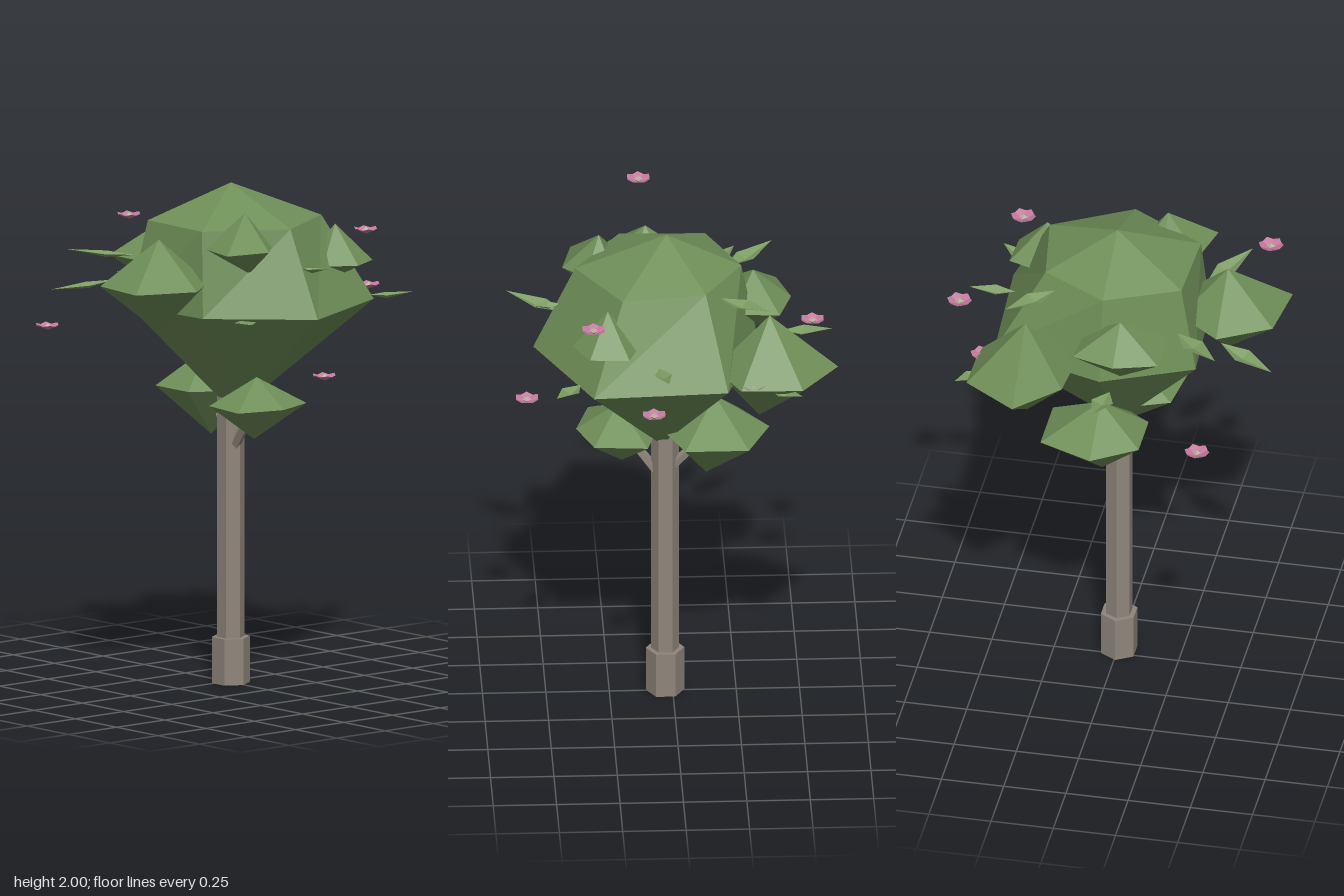
import * as THREE from 'three';

const mat = (color, side = THREE.FrontSide) =>
  new THREE.MeshStandardMaterial({ color, side, flatShading: true });
const green = mat(0x6f8f58);
const leafGreen = mat(0x7d9c63, THREE.DoubleSide);
const bark = mat(0x8f867b);
const pink = mat(0xc47a9f, THREE.DoubleSide);
const pistil = mat(0xb5ae9c);

// Faceted closed shell: top point, rings of [x, y, z] running from +x towards +z, bottom point
function facetedShell(top, rings, bottom) {
  const p = [];
  const n = rings[0].length;
  for (let i = 0; i < n; i++) {
    const j = (i + 1) % n;
    p.push(...top, ...rings[0][j], ...rings[0][i]);
    for (let r = 0; r < rings.length - 1; r++) {
      const u = rings[r], l = rings[r + 1];
      p.push(...u[i], ...u[j], ...l[j], ...u[i], ...l[j], ...l[i]);
    }
    const last = rings[rings.length - 1];
    p.push(...last[i], ...last[j], ...bottom);
  }
  return fromPoints(p);
}

function fromPoints(p) {
  const g = new THREE.BufferGeometry();
  g.setAttribute('position', new THREE.Float32BufferAttribute(p, 3));
  g.computeVertexNormals();
  return g;
}

export function createModel() {
  const tree = new THREE.Group();
  tree.name = 'tree';
  const add = (name, geometry, material) => {
    const m = new THREE.Mesh(geometry, material);
    m.name = name;
    tree.add(m);
    return m;
  };

  // Six-sided trunk and its wider foot
  const hexPost = (name, r, y0, y1) => {
    const g = new THREE.CylinderGeometry(r, r, y1 - y0, 6).rotateY(Math.PI / 6);
    add(name, g, bark).position.set(0.03, (y0 + y1) / 2, 0.005);
  };
  hexPost('trunkFoot', 0.076, 0, 0.185);
  hexPost('trunk', 0.055, 0.185, 1.2);

  // Branches reaching into the two low clumps
  const branch = (a, b) => {
    const from = new THREE.Vector3(...a), dir = new THREE.Vector3(...b).sub(from);
    const m = add('branch', new THREE.CylinderGeometry(0.016, 0.022, dir.length(), 5), bark);
    m.position.copy(from).addScaledVector(dir, 0.5);
    m.quaternion.setFromUnitVectors(new THREE.Vector3(0, 1, 0), dir.normalize());
  };
  branch([0.05, 0.94, 0.01], [0.2, 1.14, 0.02]);
  branch([0.02, 0.97, 0], [-0.13, 1.13, -0.03]);

  // Main crown
  const atHeight = (y, pts) => pts.map(([x, z]) => [x, y, z]);
  add('crown', facetedShell([0.025, 2, 0], [
    atHeight(1.86, [[0.385, 0], [0.2, 0.3], [-0.14, 0.29], [-0.27, 0], [-0.12, -0.26], [0.21, -0.31]]),
    atHeight(1.52, [[0.55, 0], [0.24, 0.33], [-0.18, 0.355], [-0.34, 0], [-0.2, -0.45], [0.33, -0.48]]),
  ], [0.045, 1.08, 0]), green);

  // Leaf clumps: centre x, z; top, ring and bottom heights; bottom x; six ring radii
  const clumps = [
    [0.09, 0.43, 1.83, 1.65, 1.46, 0.09, [0.23, 0.27, 0.235, 0.235, 0.2, 0.2]],
    [-0.37, -0.29, 1.78, 1.55, 1.345, -0.33, [0.22, 0.21, 0.19, 0.27, 0.245, 0.24]],
    [-0.165, -0.03, 1.305, 1.165, 0.97, -0.13, [0.215, 0.2, 0.2, 0.215, 0.25, 0.25]],
    [0.215, 0.03, 1.25, 1.14, 1.0, 0.2, [0.165, 0.22, 0.19, 0.16, 0.22, 0.2]],
    [-0.32, 0.08, 1.8, 1.68, 1.545, -0.32, [0.11, 0.2, 0.197, 0.15, 0.197, 0.18]],
    [0.285, 0.15, 1.93, 1.79, 1.69, 0.31, [0.145, 0.21, 0.16, 0.08, 0.12, 0.11]],
    [0.27, -0.33, 1.83, 1.68, 1.62, 0.28, [0.14, 0.14, 0.13, 0.13, 0.16, 0.15]],
  ];
  for (const [x, z, top, mid, low, lowX, radii] of clumps) {
    const ring = radii.map((r, i) => {
      const a = (i * Math.PI) / 3;
      return [x + r * Math.cos(a), mid, z + r * Math.sin(a)];
    });
    add('leafClump', facetedShell([x, top, z], [ring], [lowX, low, z]), green);
  }

  // Loose folded leaves: base point, tip point, half width
  const leaves = [
    [[0.07, 1.62, -0.42], [0.04, 1.64, -0.6], 0.035],
    [[0.38, 1.55, -0.41], [0.48, 1.56, -0.55], 0.04],
    [[0.44, 1.71, -0.01], [0.56, 1.72, -0.04], 0.03],
    [[0.41, 1.53, 0.28], [0.64, 1.56, 0.42], 0.045],
    [[-0.22, 1.71, 0.29], [-0.41, 1.73, 0.48], 0.045],
    [[-0.15, 1.64, 0.45], [-0.27, 1.61, 0.68], 0.045],
    [[-0.43, 1.54, 0.06], [-0.63, 1.56, 0.03], 0.045],
    [[-0.18, 1.82, -0.21], [-0.37, 1.835, -0.37], 0.045],
    [[-0.37, 1.53, -0.45], [-0.49, 1.55, -0.55], 0.04],
  ];
  for (const [base, tip, w] of leaves) {
    const a = new THREE.Vector3(...base), b = new THREE.Vector3(...tip);
    const side = new THREE.Vector3(a.z - b.z, 0, b.x - a.x).setLength(w);
    const mid = a.clone().lerp(b, 0.42);
    const l = mid.clone().add(side), r = mid.clone().sub(side);
    mid.y -= 0.018;
    const tris = [a, l, mid, l, b, mid, b, r, mid, r, a, mid];
    add('leaf', fromPoints(tris.flatMap((v) => v.toArray())), leafGreen);
  }

  // Blossoms: scalloped shallow cup with a small pistil
  const petals = new THREE.CircleGeometry(0.05, 12).rotateX(-Math.PI / 2);
  const pos = petals.attributes.position;
  for (let i = 0; i < pos.count; i++) {
    const k = i % 2 ? 0.88 : 1;
    pos.setXYZ(i, pos.getX(i) * k, i === 0 ? -0.015 : i % 2 ? 0.003 : 0.01, pos.getZ(i) * k);
  }
  petals.computeVertexNormals();
  const spots = [
    [0.11, 1.95, 0.6], [-0.57, 1.395, 0.44], [0.575, 1.295, -0.015],
    [0.33, 1.8, -0.44], [0.1, 1.525, -0.65], [-0.3, 1.56, -0.475],
  ];
  for (const s of spots) {
    const blossom = new THREE.Group();
    blossom.name = 'blossom';
    const cup = new THREE.Mesh(petals, pink);
    cup.name = 'petals';
    const heart = new THREE.Mesh(new THREE.OctahedronGeometry(0.019).scale(1, 0.7, 1), pistil);
    heart.name = 'pistil';
    blossom.add(cup, heart);
    blossom.position.set(...s);
    tree.add(blossom);
  }
  return tree;
}
